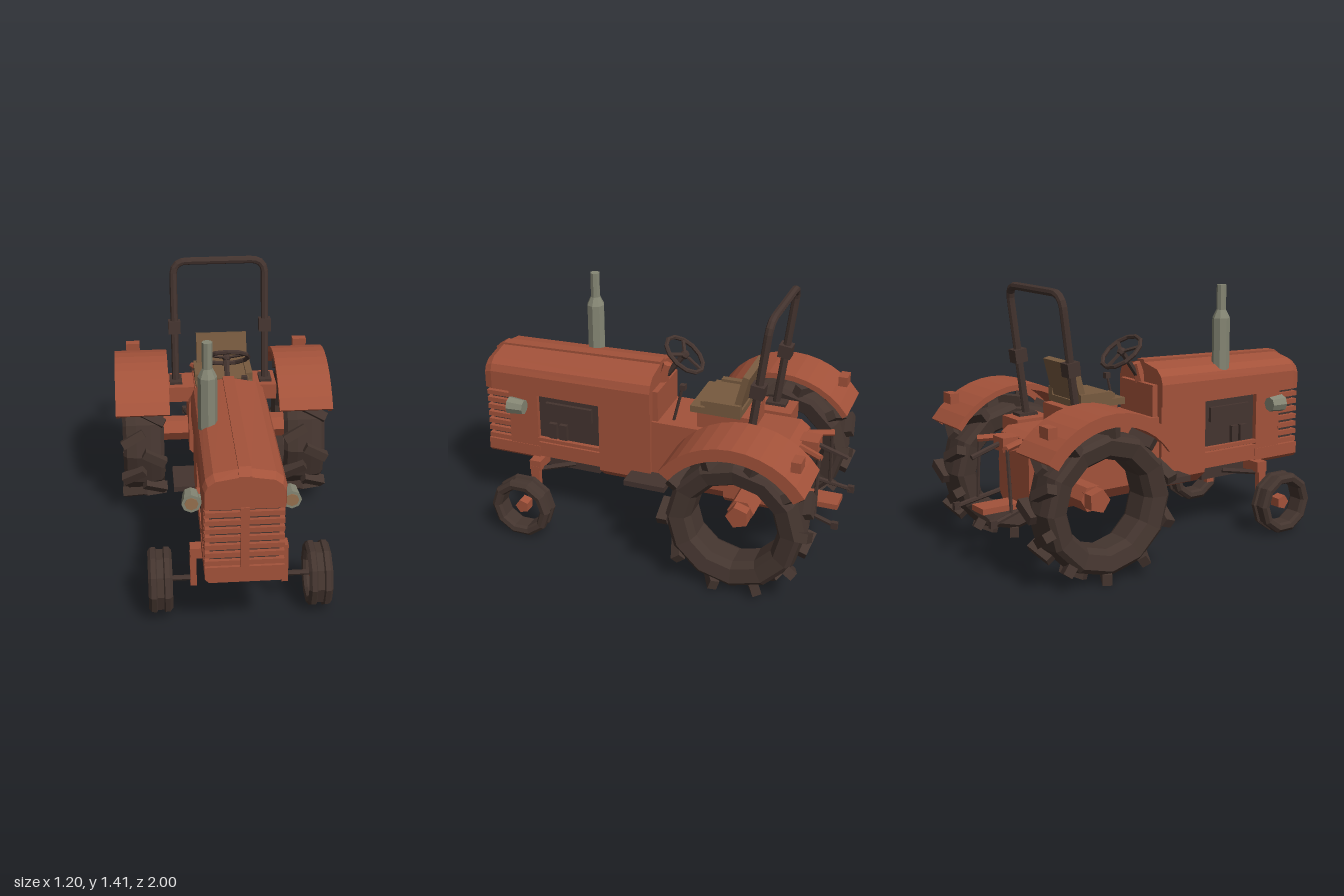
import * as THREE from 'three';

const mat = (name, color) => {
  const m = new THREE.MeshStandardMaterial({ color, flatShading: true });
  m.name = name;
  return m;
};

export function createModel() {
  const red = mat('red paint', 0xa3523a), dark = mat('dark metal', 0x44342f), rubber = mat('rubber', 0x44352f);
  const grey = mat('grey metal', 0x858674), tan = mat('seat leather', 0x775a3f), glass = mat('lamp glass', 0x97714f);
  const root = new THREE.Group();
  root.name = 'tractor';

  const add = (name, geo, m, parent = root) => {
    const mesh = new THREE.Mesh(geo, m);
    mesh.name = name;
    parent.add(mesh);
    return mesh;
  };
  // Box given by its extents on each axis
  const box = (name, m, x0, x1, y0, y1, z0, z1, parent = root) => {
    const mesh = add(name, new THREE.BoxGeometry(x1 - x0, y1 - y0, z1 - z0), m, parent);
    mesh.position.set((x0 + x1) / 2, (y0 + y1) / 2, (z0 + z1) / 2);
    return mesh;
  };
  // Straight bar between two points
  const rod = (name, m, a, b, r, sides = 6, r2 = r) => {
    const p = new THREE.Vector3(...a), q = new THREE.Vector3(...b), d = q.clone().sub(p);
    const mesh = add(name, new THREE.CylinderGeometry(r2, r, d.length(), sides), m);
    mesh.position.copy(p).add(q).multiplyScalar(0.5);
    mesh.quaternion.setFromUnitVectors(new THREE.Vector3(0, 1, 0), d.normalize());
    return mesh;
  };
  // Skin over cross-sections, counter-clockwise seen from +z, ordered back to front
  const loft = (rings) => {
    const n = rings[0].length, pos = rings.flat(2), idx = [], last = (rings.length - 1) * n;
    for (let r = 0; r < rings.length - 1; r++) for (let i = 0; i < n; i++) {
      const a = r * n + i, b = r * n + (i + 1) % n;
      idx.push(a, b, b + n, a, b + n, a + n);
    }
    for (let i = 1; i < n - 1; i++) idx.push(0, i + 1, i, last, last + i, last + i + 1);
    const g = new THREE.BufferGeometry();
    g.setAttribute('position', new THREE.Float32BufferAttribute(pos, 3));
    g.setIndex(idx);
    const flat = g.toNonIndexed();
    flat.computeVertexNormals();
    return flat;
  };
  // Mirrored profile from its right half, listed bottom to top
  const mirror = (half) => [...half, ...half.slice().reverse().map(([x, y]) => [-x, y])];

  // Hood with rounded shoulders, falling towards the front
  const hood = mirror([[0.197, 0.745], [0.197, 0.86], [0.182, 0.902], [0.145, 0.935], [0.03, 0.958]]);
  const hoodRing = (z, sx, sy) => hood.map(([x, y]) => [x * sx, 0.745 + (y - 0.745) * sy, z]);
  add('hood', loft([hoodRing(0.03, 1, 1.03), hoodRing(0.95, 1, 0.9), hoodRing(0.99, 0.95, 0.78)]), red);
  const ridge = mirror([[0.03, 0.9], [0.03, 0.978]]);
  add('hoodRidge', loft([[0.03, 0], [0.95, -0.03], [0.995, -0.06]].map(([z, d]) =>
    ridge.map(([x, y]) => [x, y + d, z]))), red);

  // Nose and grille
  box('grilleCore', dark, -0.165, 0.165, 0.42, 0.75, 0.85, 0.965);
  for (let i = 0; i < 7; i++) {
    const y = 0.45 + i * 0.044;
    box('grilleSlat', red, -0.188, 0.188, y - 0.013, y + 0.013, 0.85, 0.985);
  }
  box('grilleBar', red, -0.02, 0.02, 0.43, 0.755, 0.95, 0.998);
  const nose = mirror([[0.17, 0.345], [0.19, 0.365], [0.19, 0.43]]);
  add('noseBase', loft([0.68, 0.99].map(z => nose.map(([x, y]) => [x, y, z]))), red);
  box('nosePanel', red, -0.187, 0.187, 0.4, 0.75, 0.685, 0.855);

  // Engine bay
  box('engineBlock', dark, -0.16, 0.16, 0.38, 0.75, 0.3, 0.7);
  box('engineSill', red, -0.187, 0.187, 0.37, 0.455, 0.32, 0.69);
  box('sump', dark, -0.12, 0.12, 0.285, 0.39, 0.355, 0.67);
  for (const s of [-1, 1]) {
    box('engineRail', red, s * 0.178 - 0.012, s * 0.178 + 0.012, 0.465, 0.485, 0.32, 0.69);
    box('engineCover', dark, s * 0.168 - 0.012, s * 0.168 + 0.012, 0.62, 0.7, 0.37, 0.64);
    for (const z of [0.54, 0.6])
      box('engineFilter', dark, s * 0.168 - 0.015, s * 0.168 + 0.015, 0.49, 0.58, z - 0.022, z + 0.022);
  }

  // Central body, transmission and rear housing
  const lower = (w, top) => mirror([[0.12, 0.29], [w, 0.35], [w, top]]);
  add('bodyPanel', loft([0.03, 0.325].map(z => lower(0.187, 0.75).map(([x, y]) => [x, y, z]))), red);
  add('transmission', loft([-0.4, 0.04].map(z => lower(0.165, 0.69).map(([x, y]) => [x, y, z]))), red);
  const rear = mirror([[0.15, 0.29], [0.19, 0.33], [0.19, 0.62], [0.15, 0.685]]);
  add('rearHousing', loft([[-0.755, 0.8], [-0.7, 1], [-0.38, 1]].map(([z, s]) =>
    rear.map(([x, y]) => [x * s, 0.48 + (y - 0.48) * (0.5 + s / 2), z]))), red);
  box('dashPanel', red, -0.15, 0.15, 0.68, 0.86, 0.0, 0.05);

  // Seat
  box('seatBase', red, -0.13, 0.13, 0.68, 0.785, -0.5, -0.21);
  box('seatCushion', tan, -0.155, 0.155, 0.785, 0.82, -0.45, -0.18);
  box('seatPad', tan, -0.135, 0.135, 0.81, 0.845, -0.43, -0.23);
  for (const s of [-1, 1]) box('seatSide', tan, s * 0.14 - 0.018, s * 0.14 + 0.018, 0.8, 0.86, -0.45, -0.26);
  const back = box('seatBack', tan, -0.14, 0.14, 0.82, 1.02, -0.465, -0.43);
  back.rotation.x = -0.25;

  // Steering column and wheel
  rod('steeringCover', red, [0, 0.86, 0.03], [0, 0.96, 0.0], 0.035, 6, 0.025);
  rod('steeringColumn', dark, [0, 0.86, 0.03], [0, 1.04, -0.1], 0.016);
  const steering = new THREE.Group();
  steering.name = 'steeringWheel';
  steering.position.set(0, 1.028, -0.095);
  steering.quaternion.setFromUnitVectors(new THREE.Vector3(0, 0, 1), new THREE.Vector3(0, 0.785, -0.62).normalize());
  root.add(steering);
  add('steeringRim', new THREE.TorusGeometry(0.118, 0.012, 6, 12), dark, steering);
  add('steeringHub', new THREE.SphereGeometry(0.025, 6, 4), dark, steering);
  for (let i = 0; i < 3; i++) {
    const a = Math.PI / 2 + i * Math.PI * 2 / 3;
    const spoke = add('steeringSpoke', new THREE.BoxGeometry(0.115, 0.018, 0.01), dark, steering);
    spoke.position.set(Math.cos(a) * 0.058, Math.sin(a) * 0.058, 0);
    spoke.rotation.z = a;
  }
  rod('gearLever', dark, [0.1, 0.68, -0.07], [0.1, 0.89, -0.12], 0.008);
  box('gearKnob', dark, 0.085, 0.115, 0.875, 0.905, -0.137, -0.107);

  // Exhaust stack
  const pipe = [[0.048, 0.9], [0.048, 1.18], [0.026, 1.225], [0.026, 1.36], [0, 1.36]];
  const exhaust = add('exhaust', new THREE.LatheGeometry(pipe.map(p => new THREE.Vector2(...p)), 8), grey);
  exhaust.position.set(-0.137, 0, 0.465);

  // Roll bar: leaning hoop with rounded corners
  const lean = (x, y) => new THREE.Vector3(x, y, -0.53 - (y - 0.7) * 0.127);
  const hoop = new THREE.CurvePath();
  hoop.add(new THREE.LineCurve3(lean(-0.256, 0.69), lean(-0.256, 1.31)));
  hoop.add(new THREE.QuadraticBezierCurve3(lean(-0.256, 1.31), lean(-0.256, 1.39), lean(-0.18, 1.39)));
  hoop.add(new THREE.LineCurve3(lean(-0.18, 1.39), lean(0.18, 1.39)));
  hoop.add(new THREE.QuadraticBezierCurve3(lean(0.18, 1.39), lean(0.256, 1.39), lean(0.256, 1.31)));
  hoop.add(new THREE.LineCurve3(lean(0.256, 1.31), lean(0.256, 0.69)));
  add('rollBar', new THREE.TubeGeometry(hoop, 64, 0.021, 8), dark);

  // Rear and front wheels: closed ring profiles turned on the axle
  const ring = (half, sides) => {
    const pts = [...half, ...half.slice().reverse().map(([r, x]) => [r, -x]), half[0]];
    return new THREE.LatheGeometry(pts.map(p => new THREE.Vector2(...p)), sides).rotateZ(-Math.PI / 2);
  };
  const rearTyre = ring([[0.225, -0.06], [0.25, -0.1], [0.325, -0.115], [0.35, -0.095], [0.36, -0.04]], 12);
  const frontTyre = ring([[0.115, -0.04], [0.125, -0.055], [0.15, -0.06], [0.168, -0.046], [0.17, -0.022],
    [0.158, -0.016]], 10);
  const lugGeo = new THREE.BoxGeometry(0.135, 0.055, 0.048);
  const arc = new THREE.Shape(), lip = new THREE.Shape();
  for (const [shape, inner] of [[arc, 0.425], [lip, 0.39]]) {
    const a = 0.62, b = Math.PI - 0.62;
    shape.absarc(0, 0, 0.456, a, b, false);
    shape.absarc(0, 0, inner, b, a, true);
  }
  const bent = (shape, depth) =>
    new THREE.ExtrudeGeometry(shape, { depth, bevelEnabled: false, curveSegments: 6 }).rotateY(Math.PI / 2);

  for (const s of [-1, 1]) {
    const wheel = new THREE.Group();
    wheel.name = 'rearWheel';
    wheel.position.set(s * 0.453, 0.395, -0.54);
    root.add(wheel);
    add('rearTyre', rearTyre, rubber, wheel);
    for (let i = 0; i < 20; i++) {
      const side = i % 2 ? 1 : -1, turn = new THREE.Group();
      turn.name = 'tread';
      turn.rotation.x = i * Math.PI / 10;
      wheel.add(turn);
      const lug = add('treadLug', lugGeo, rubber, turn);
      lug.position.set(side * 0.058, 0.362, 0);
      lug.rotation.y = -side * 0.5;
    }
    rod('rearAxle', red, [s * 0.15, 0.395, -0.54], [s * 0.4, 0.395, -0.54], 0.07);
    rod('rearHub', red, [s * 0.38, 0.395, -0.54], [s * 0.46, 0.395, -0.54], 0.062, 5);

    // Fender with outer lip, bracket and rear lamp block
    for (const [name, shape, x, depth] of [['fender', arc, 0.303, 0.295], ['fenderLip', lip, 0.582, 0.018]]) {
      const f = add(name, bent(shape, depth), red);
      f.position.set(s > 0 ? x : -x - depth, 0.4, -0.54);
    }
    box('fenderBracket', red, s * 0.235 - 0.08, s * 0.235 + 0.08, 0.61, 0.7, -0.64, -0.44);
    box('rearLamp', red, s * 0.495 - 0.04, s * 0.495 + 0.04, 0.76, 0.815, -0.87, -0.82);

    // Roll bar foot and collar
    box('rollBarFoot', dark, s * 0.256 - 0.035, s * 0.256 + 0.035, 0.7, 0.715, -0.59, -0.48);
    const collar = box('rollBarCollar', dark, s * 0.256 - 0.034, s * 0.256 + 0.034, 0.985, 1.055, -0.605, -0.535);
    collar.rotation.x = -0.126;

    // Step
    box('step', dark, s * 0.225 - 0.075, s * 0.225 + 0.075, 0.356, 0.386, -0.09, 0.14);

    // Front wheel, knuckle and spindle
    add('frontTyre', frontTyre, rubber).position.set(s * 0.397, 0.173, 0.69);
    rod('frontHub', red, [s * 0.36, 0.173, 0.69], [s * 0.42, 0.173, 0.69], 0.04, 5);
    rod('frontSpindle', dark, [s * 0.22, 0.178, 0.69], [s * 0.4, 0.178, 0.69], 0.014);
    box('steeringKnuckle', red, s * 0.23 - 0.016, s * 0.23 + 0.016, 0.145, 0.33, 0.665, 0.715);
    rod('axleBrace', dark, [s * 0.21, 0.3, 0.68], [s * 0.12, 0.32, 0.5], 0.014);

    // Headlamp
    rod('headlampBody', grey, [s * 0.24, 0.686, 0.735], [s * 0.24, 0.686, 0.825], 0.04, 8, 0.048);
    rod('headlampGlass', glass, [s * 0.24, 0.686, 0.824], [s * 0.24, 0.686, 0.829], 0.033, 8);
    box('headlampMount', grey, s * 0.2 - 0.02, s * 0.2 + 0.02, 0.67, 0.7, 0.76, 0.79);

    // Rear linkage
    rod('liftArm', red, [s * 0.06, 0.65, -0.72], [s * 0.145, 0.64, -0.88], 0.018);
    rod('liftRod', dark, [s * 0.145, 0.64, -0.87], [s * 0.175, 0.32, -0.87], 0.01);
    rod('lowerLink', dark, [s * 0.15, 0.36, -0.7], [s * 0.192, 0.29, -0.985], 0.013);
    box('linkEnd', dark, s * 0.192 - 0.012, s * 0.192 + 0.012, 0.272, 0.31, -1, -0.965);
  }
  box('frontAxle', red, -0.245, 0.245, 0.308, 0.365, 0.655, 0.72);
  box('drawbar', red, -0.06, 0.06, 0.3, 0.33, -0.965, -0.72);
  box('linkMount', red, -0.05, 0.05, 0.6, 0.67, -0.84, -0.72);
  rod('topLink', dark, [0, 0.64, -0.82], [0, 0.585, -0.99], 0.014);
  return root;
}
